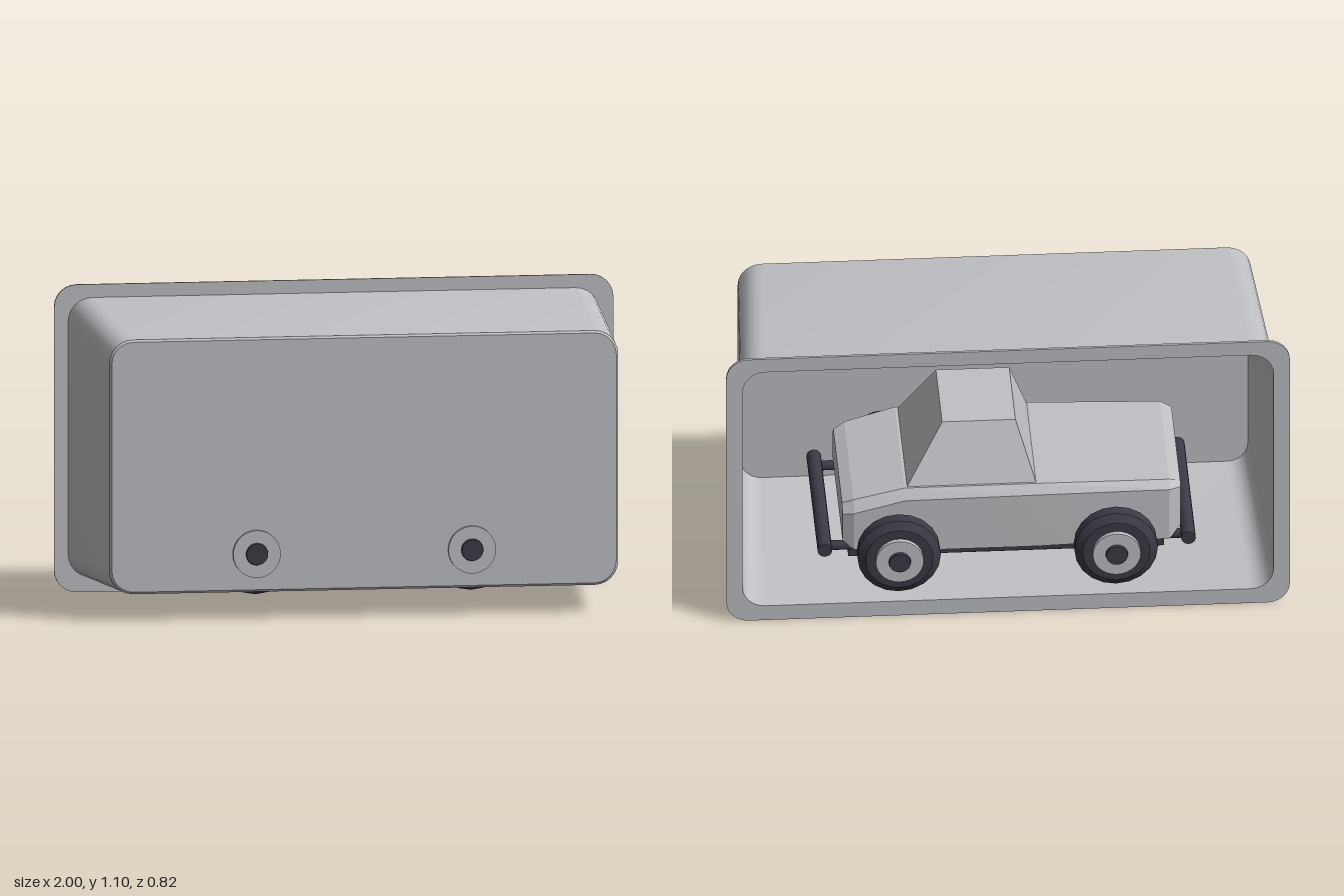
import * as THREE from 'three';
import { toCreasedNormals } from 'three/addons/utils/BufferGeometryUtils.js';

const material = (name, color) => {
  const m = new THREE.MeshStandardMaterial({ color });
  m.name = name;
  return m;
};

// Skins a sequence of equal-length rings and closes both ends
function loft(rings, crease = 0.5) {
  const pos = [];
  const n = rings[0].length;
  const tri = (...pts) => pts.forEach((p) => pos.push(p.x, p.y, p.z));
  const middle = (ring) => ring.reduce((s, p) => s.add(p), new THREE.Vector3()).divideScalar(n);
  const first = rings[0], last = rings[rings.length - 1];
  const c0 = middle(first), c1 = middle(last);
  for (let j = 0; j < n; j++) {
    const k = (j + 1) % n;
    for (let i = 0; i < rings.length - 1; i++) {
      const a = rings[i][j], b = rings[i][k], c = rings[i + 1][k], d = rings[i + 1][j];
      tri(a, b, c);
      tri(a, c, d);
    }
    tri(c0, first[k], first[j]);
    tri(c1, last[j], last[k]);
  }
  const g = new THREE.BufferGeometry();
  g.setAttribute('position', new THREE.Float32BufferAttribute(pos, 3));
  return toCreasedNormals(g, crease);
}

// Rounded rectangle at depth z
function roundedRing(z, hx, y0, y1, r) {
  const ring = [];
  const corners = [[hx - r, y0 + r, -1], [hx - r, y1 - r, 0], [r - hx, y1 - r, 1], [r - hx, y0 + r, 2]];
  for (const [cx, cy, q] of corners) {
    for (let s = 0; s <= 6; s++) {
      const a = (q + s / 6) * Math.PI / 2;
      ring.push(new THREE.Vector3(cx + r * Math.cos(a), cy + r * Math.sin(a), z));
    }
  }
  return ring;
}

// Body cross-section with chamfered shoulders
const bodyRing = ([x, bottom, shoulder, top, w, wt]) => [
  [bottom, -w], [shoulder, -w], [top, -wt], [top, wt], [shoulder, w], [bottom, w],
].map(([y, z]) => new THREE.Vector3(x, y, z));

// Horizontal rectangle for the cabin
const cabinRing = (y, x0, x1, w) => [[x0, -w], [x0, w], [x1, w], [x1, -w]]
  .map(([x, z]) => new THREE.Vector3(x, y, z));

export function createModel() {
  const model = new THREE.Group();
  const grey = material('lightGrey', 0xc0c1c5);
  const dark = material('darkRubber', 0x3b3b47);
  const purple = material('purple', 0x4b2a78);

  const add = (name, geometry, mat, parent = model, x = 0, y = 0, z = 0) => {
    const mesh = new THREE.Mesh(geometry, mat);
    mesh.name = name;
    mesh.position.set(x, y, z);
    parent.add(mesh);
    return mesh;
  };

  // Tapered open tray with a flanged mouth at the back
  add('displayTray', loft([
    roundedRing(0.375, 0.9, 0.108, 0.998, 0.075),
    roundedRing(-0.385, 0.942, 0.06, 1.045, 0.08),
    roundedRing(-0.385, 1, 0, 1.1, 0.08),
    roundedRing(-0.375, 1, 0, 1.1, 0.08),
    roundedRing(-0.375, 0.95, 0.052, 1.053, 0.085),
    roundedRing(0.378, 0.91, 0.098, 1.008, 0.085),
    roundedRing(0.385, 0.902, 0.106, 1.0, 0.078),
  ]), grey);

  const car = new THREE.Group();
  car.name = 'car';
  model.add(car);

  // Bodywork: bottom, shoulder and top heights along the length
  add('body', loft([
    [-0.62, 0.26, 0.42, 0.435, 0.26, 0.24],
    [-0.58, 0.22, 0.425, 0.45, 0.285, 0.255],
    [-0.11, 0.21, 0.425, 0.458, 0.29, 0.265],
    [0.36, 0.21, 0.42, 0.458, 0.29, 0.265],
    [0.54, 0.22, 0.37, 0.41, 0.285, 0.255],
    [0.58, 0.25, 0.36, 0.39, 0.27, 0.24],
  ].map(bodyRing), 0.2), grey, car);
  add('cabin', loft([
    cabinRing(0.45, -0.11, 0.355, 0.26),
    cabinRing(0.67, -0.04, 0.22, 0.17),
  ]), grey, car);

  // Underside
  add('chassis', new THREE.BoxGeometry(1.12, 0.035, 0.54), dark, car, 0, 0.2, 0);
  add('underPlate', new THREE.BoxGeometry(1.1, 0.009, 0.52), purple, car, 0, 0.18, 0);

  // Wheels
  const tyreShape = [[0, -0.0425], [0.12, -0.0425], [0.148, -0.022], [0.148, 0.022], [0.12, 0.0425], [0, 0.0425]];
  const tyre = toCreasedNormals(
    new THREE.LatheGeometry(tyreShape.map(([r, y]) => new THREE.Vector2(r, y)), 20).rotateX(Math.PI / 2), 0.5);
  const rim = new THREE.CylinderGeometry(0.085, 0.085, 0.03, 28).rotateX(Math.PI / 2);
  const cap = new THREE.CylinderGeometry(0.038, 0.044, 0.03, 20).rotateX(Math.PI / 2);
  const axle = new THREE.CylinderGeometry(0.025, 0.025, 0.62, 12).rotateX(Math.PI / 2);
  const bumper = new THREE.CylinderGeometry(0.026, 0.026, 0.62, 12).rotateX(Math.PI / 2);
  const bracket = new THREE.CylinderGeometry(0.018, 0.018, 0.14, 10).rotateZ(Math.PI / 2);

  for (const end of [-1, 1]) {
    add('axle', axle, dark, car, end * 0.385, 0.235, 0);
    add('bumper', bumper, dark, car, end * 0.645, 0.235, 0);
    for (const side of [-1, 1]) {
      const wheel = new THREE.Group();
      wheel.name = 'wheel';
      wheel.position.set(end * 0.385, 0.235, side * 0.34);
      wheel.rotation.y = side > 0 ? 0 : Math.PI;
      car.add(wheel);
      add('tyre', tyre, dark, wheel);
      add('wheelRim', rim, grey, wheel, 0, 0, 0.045);
      add('hubCap', cap, dark, wheel, 0, 0, 0.055);
      add('bumperBracket', bracket, dark, car, end * 0.58, 0.225, side * 0.26);
    }
  }
  return model;
}
